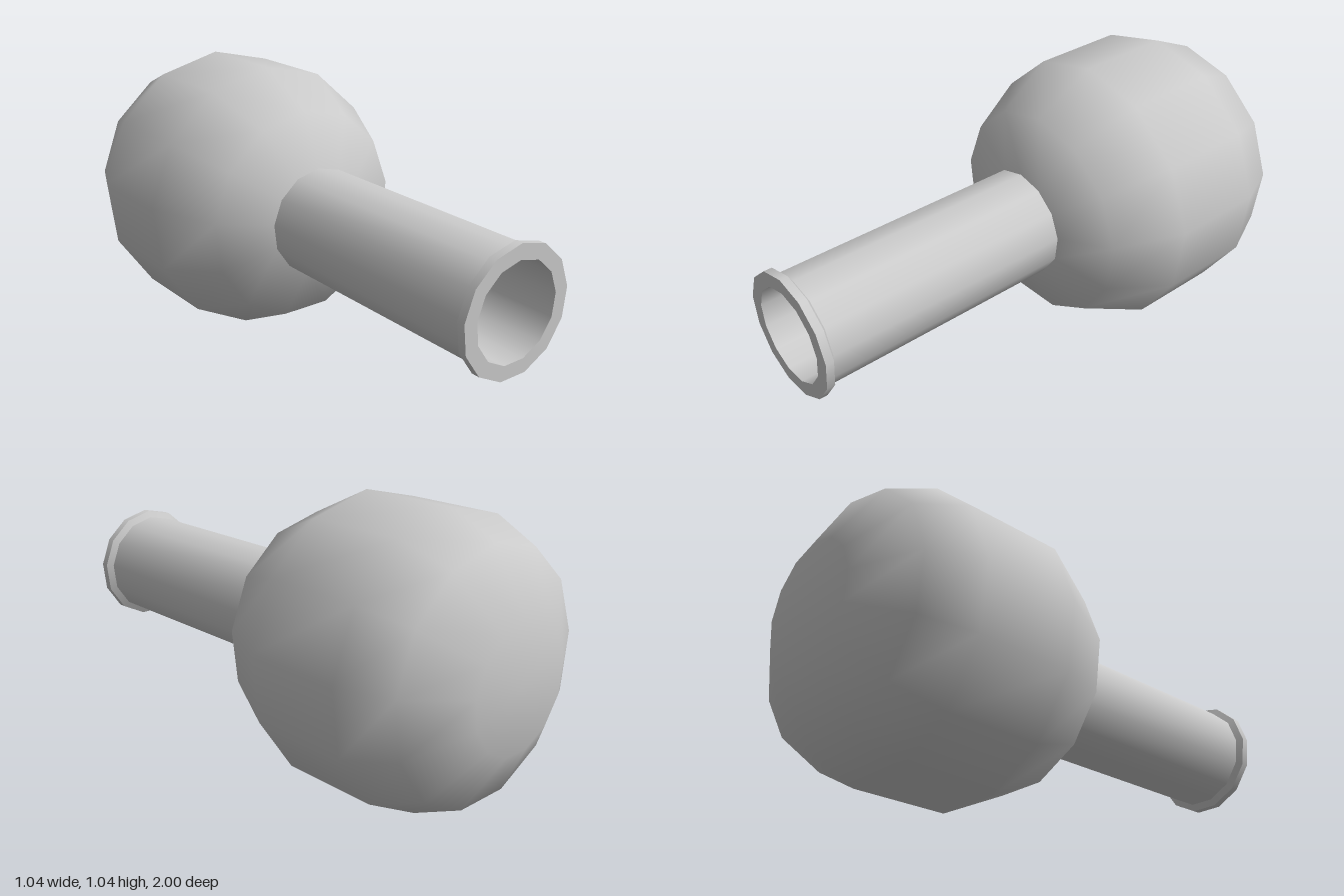
import * as THREE from 'three';

const SIDES = 13;
const AXIS_Y = 0.511;

// Lathe around the z axis; profile points are [radius, z], listed with z rising on outer walls
function turned(name, profile) {
  const geo = new THREE.LatheGeometry(
    profile.map(([r, z]) => new THREE.Vector2(r, z)), SIDES, Math.PI, Math.PI * 2);
  geo.rotateX(Math.PI / 2);
  const mesh = new THREE.Mesh(geo, new THREE.MeshStandardMaterial({ color: 0xcccccc }));
  mesh.name = name;
  mesh.position.y = AXIS_Y;
  return mesh;
}

export function createModel() {
  const group = new THREE.Group();
  group.name = 'roundFlask';

  // Rounded body, smooth from the back to the shoulder
  group.add(turned('bulb', [
    [0, -1], [0.226, -1], [0.446, -0.877], [0.526, -0.695],
    [0.526, -0.327], [0.406, -0.083], [0.204, 0],
  ]));

  // Straight neck
  group.add(turned('neck', [[0.204, 0], [0.204, 0.956]]));

  // Lip: bevel, outer band and flat rim, kept separate for sharp edges
  group.add(turned('lipBevel', [[0.204, 0.956], [0.229, 0.97]]));
  group.add(turned('lipBand', [[0.229, 0.97], [0.229, 1]]));
  group.add(turned('lipRim', [[0.229, 1], [0.175, 1]]));

  // Hollow bore and its floor
  group.add(turned('boreWall', [[0.175, 1], [0.175, 0]]));
  group.add(turned('boreFloor', [[0.175, 0], [0, 0]]));

  return group;
}
